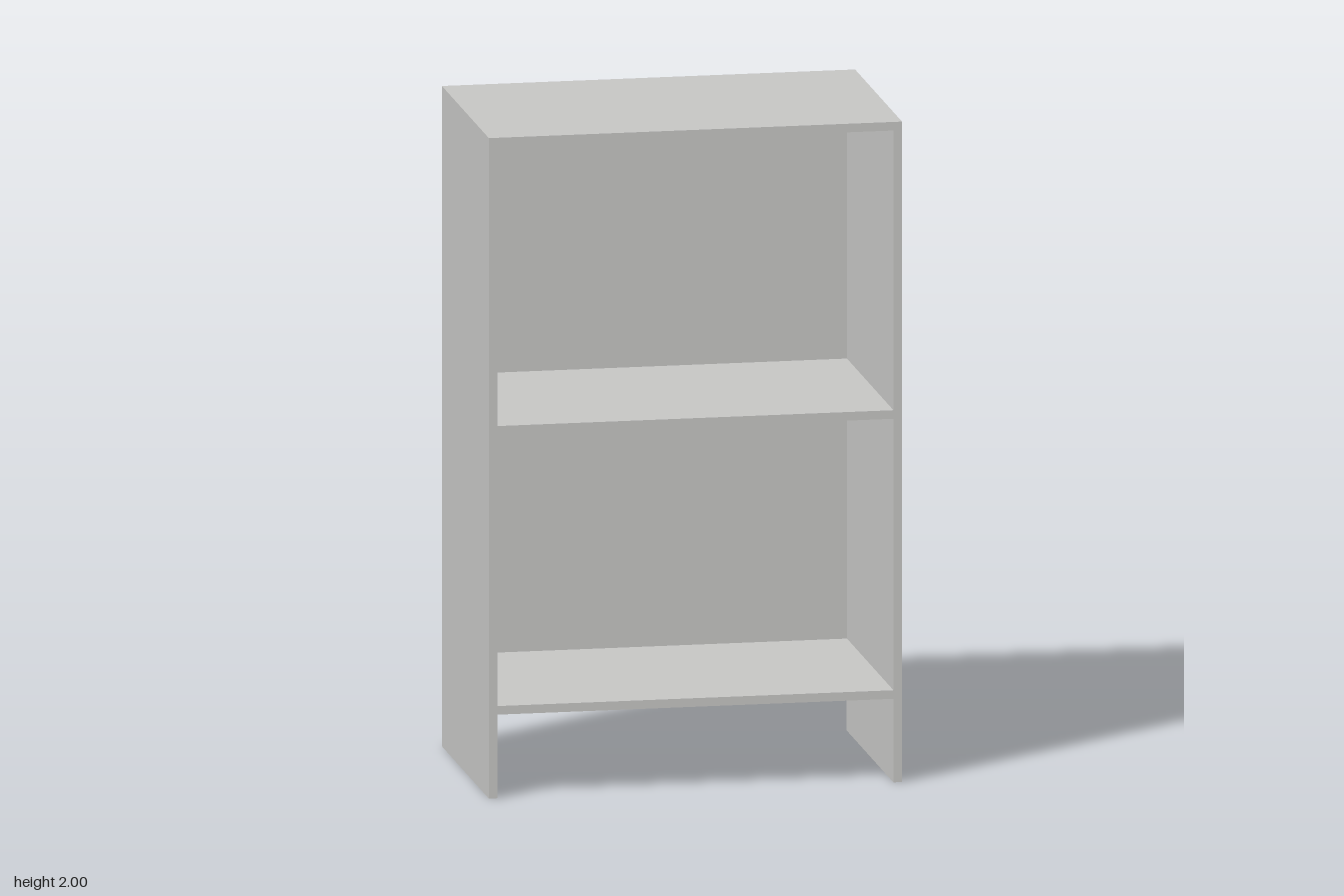
import * as THREE from 'three';

const W = 1.245, H = 2, D = 0.745; // overall size
const T = 0.026;                   // board thickness
const BACK = 0.007;                // back panel thickness
const SHELVES = [0.253, 1.101];    // underside height of each shelf

// Adds a closed rectangle to a shape or path
function rect(path, x0, y0, x1, y1) {
  path.moveTo(x0, y0);
  path.lineTo(x1, y0);
  path.lineTo(x1, y1);
  path.lineTo(x0, y1);
  path.closePath();
  return path;
}

export function createModel() {
  const group = new THREE.Group();
  group.name = 'bookcase';
  const board = new THREE.MeshStandardMaterial({ color: 0xc5c5c3 });
  board.name = 'light grey board';

  const outer = W / 2, inner = outer - T;
  const openings = SHELVES.map((y, i) => [y + T, SHELVES[i + 1] ?? H - T]);

  // Carcass: sides running down into legs, top and shelves in one piece
  const frame = new THREE.Shape();
  frame.moveTo(-outer, 0);
  frame.lineTo(-inner, 0);
  frame.lineTo(-inner, SHELVES[0]);
  frame.lineTo(inner, SHELVES[0]);
  frame.lineTo(inner, 0);
  frame.lineTo(outer, 0);
  frame.lineTo(outer, H);
  frame.lineTo(-outer, H);
  frame.closePath();
  for (const [y0, y1] of openings) {
    frame.holes.push(rect(new THREE.Path(), -inner, y0, inner, y1));
  }
  const carcassGeometry = new THREE.ExtrudeGeometry(frame, { depth: D, bevelEnabled: false });
  carcassGeometry.translate(0, 0, -D / 2);
  const carcass = new THREE.Mesh(carcassGeometry, board);
  carcass.name = 'carcass';
  group.add(carcass);

  // Thin back panels, flush with the rear of the carcass
  openings.forEach(([y0, y1], i) => {
    const panel = new THREE.Mesh(new THREE.BoxGeometry(2 * inner, y1 - y0, BACK), board);
    panel.position.set(0, (y0 + y1) / 2, -D / 2 + BACK / 2);
    panel.name = i === 0 ? 'lowerBackPanel' : 'upperBackPanel';
    group.add(panel);
  });

  return group;
}
